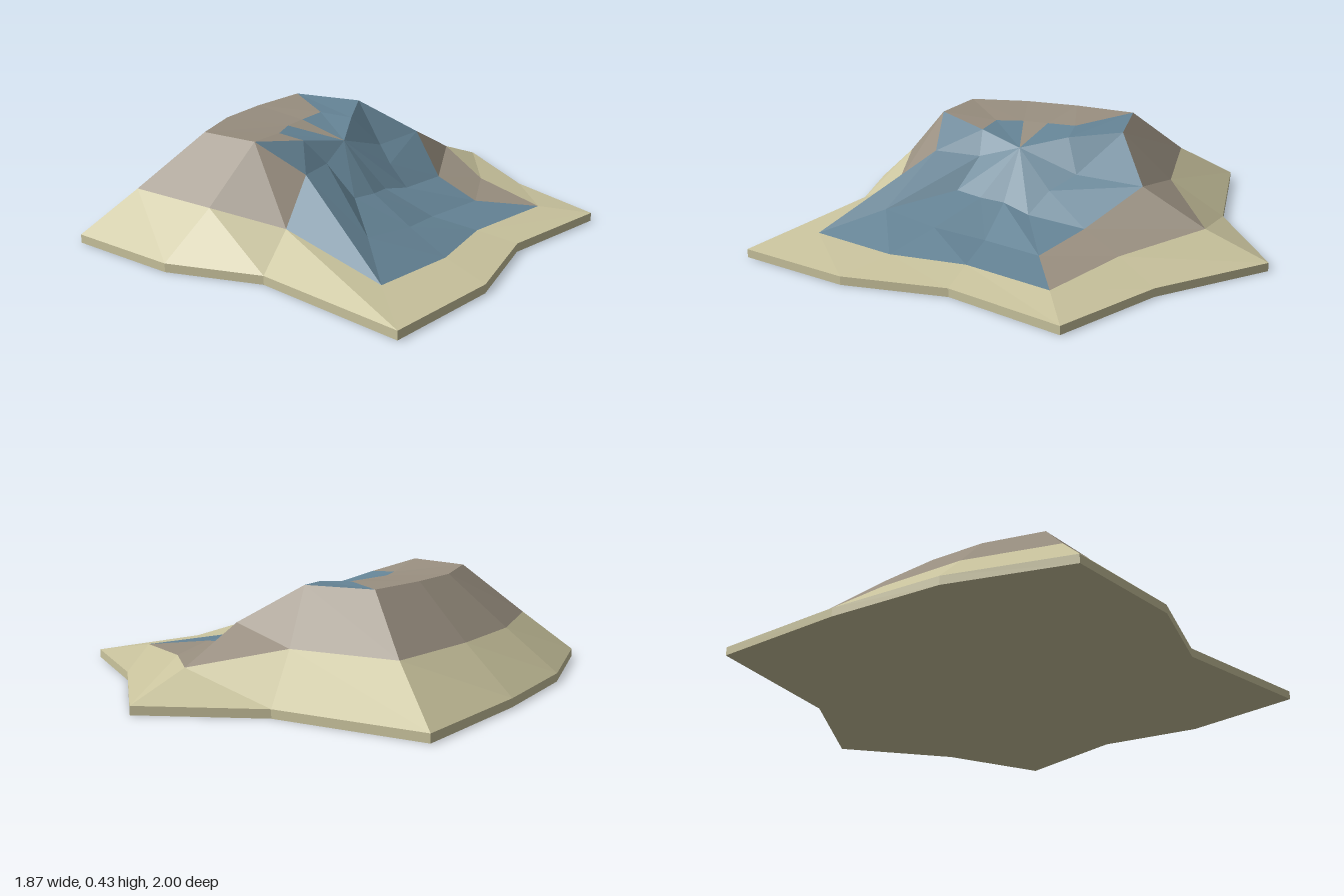
import * as THREE from 'three';

const make = (name, color) => {
  const m = new THREE.MeshStandardMaterial({ color, flatShading: true });
  m.name = name;
  return m;
};

// One spoke per row, clockwise from the back:
// outline x, outline z, inward scale, then heights of slope, shoulder and crown rings
const SPOKES = [
  [0.16, -1.0, 0.76, 0.13, 0.265, 0.27],
  [0.53, -0.63, 0.765, 0.09, 0.13, 0.22],
  [0.93, -0.39, 0.785, 0.065, 0.088, 0.145],
  [0.77, 0.09, 0.78, 0.06, 0.085, 0.17],
  [0.8, 0.52, 0.75, 0.06, 0.112, 0.18],
  [0.68, 1.0, 0.75, 0.07, 0.14, 0.19],
  [0.06, 0.82, 0.745, 0.15, 0.31, 0.3],
  [-0.33, 0.89, 0.765, 0.207, 0.428, 0.39],
  [-0.81, 0.8, 0.785, 0.21, 0.425, 0.4],
  [-0.93, 0.33, 0.78, 0.21, 0.42, 0.4],
  [-0.94, -0.13, 0.765, 0.21, 0.42, 0.4],
  [-0.9, -0.69, 0.735, 0.21, 0.42, 0.405],
  [-0.29, -0.75, 0.735, 0.205, 0.415, 0.395],
];
const N = SPOKES.length, MID_Z = 0.08, RIM = 0.035;

// Ring of points at a share of the outline
const ring = (share, height) => SPOKES.map((s) => {
  const k = share(s);
  return [s[0] * k, height(s), MID_Z + (s[1] - MID_Z) * k];
});

export function createModel() {
  const group = new THREE.Group();
  const sand = make('sand', 0xcac49e);
  const rock = make('rock', 0x998f80);
  const water = make('water', 0x658496);

  const base = ring(() => 1, () => 0);
  const rim = ring(() => 1, () => RIM);
  const slope = ring((s) => s[2], (s) => s[3]);
  const shoulder = ring((s) => s[2] * 0.675, (s) => s[4]);
  const crown = ring((s) => s[2] * 0.32, (s) => s[5]);
  const peak = Array(N).fill([0, 0.35, MID_Z]);
  const floor = Array(N).fill([0, 0, MID_Z]);

  const add = (name, material, tris) => {
    const g = new THREE.BufferGeometry();
    g.setAttribute('position', new THREE.Float32BufferAttribute(tris.flat(2), 3));
    g.computeVertexNormals();
    const mesh = new THREE.Mesh(g, material);
    mesh.name = name;
    group.add(mesh);
  };

  // Triangles between two rings for the chosen segments
  const band = (outer, inner, segments) => segments.flatMap((i) => {
    const j = (i + 1) % N;
    const first = [outer[i], inner[i], inner[j]];
    const second = [outer[i], inner[j], outer[j]];
    if (inner === peak) return [[outer[i], inner[i], outer[j]]];
    if (outer === floor) return [[outer[i], inner[i], inner[j]]];
    return [first, second];
  });
  const all = SPOKES.map((_, i) => i);
  const except = (list) => all.filter((i) => !list.includes(i));

  // Sandy foot with its rim and underside
  add('underside', sand, band(floor, base, all));
  add('rim', sand, band(base, rim, all));
  add('beach', sand, band(rim, slope, all));

  // Rocky flanks, with water spilling over the low side
  const lowSide = [2, 3, 4, 5];
  add('rockFlanks', rock, band(slope, shoulder, except(lowSide)));
  add('waterSpill', water, band(slope, shoulder, lowSide));

  // Upper ledge
  const ledge = [7, 8, 9, 10];
  add('rockLedge', rock, band(shoulder, crown, ledge));
  add('waterUpper', water, band(shoulder, crown, except(ledge)));

  // Centre fan
  add('rockSpur', rock, band(crown, peak, [9]));
  add('waterCentre', water, band(crown, peak, except([9])));

  return group;
}
